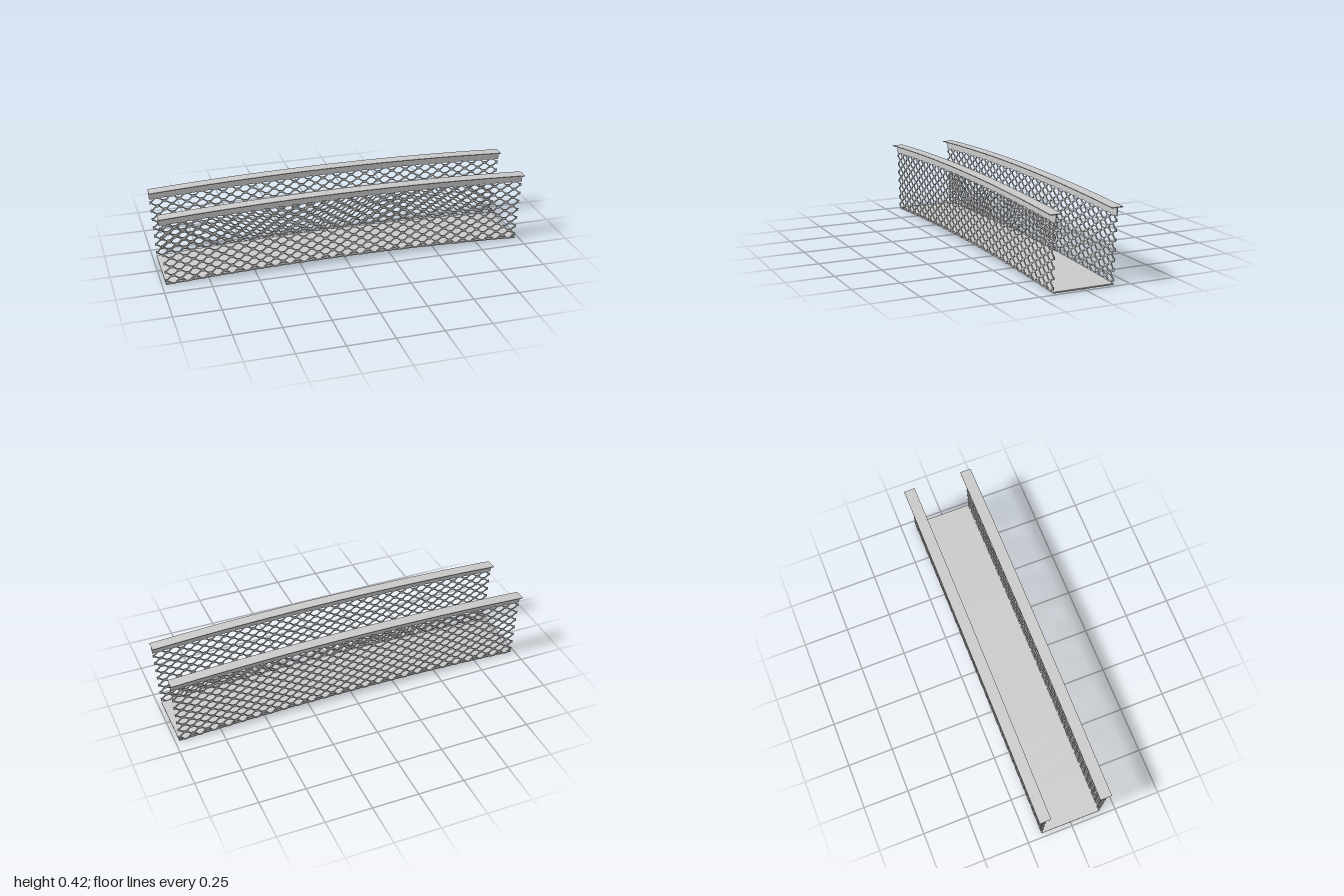
import * as THREE from 'three';

const R0 = 17.609;             // radius of the floor underside
const HALF = Math.asin(1 / 18); // half of the arc angle
const HEIGHT = 0.391;          // floor underside to rail top
const material = new THREE.MeshStandardMaterial({ color: 0xcccccc, flatShading: true });

// Point on the bent trough: s runs -1..1 along it, t is the height above the underside
function bend(s, t, z) {
  const a = s * HALF, r = R0 + t;
  return [r * Math.sin(a), r * Math.cos(a) - R0 * Math.cos(HALF), z];
}

// Rectangular bar swept along the arc; low(s) is its lower edge
function bar(name, n, low, height, z0, z1) {
  const pos = [], idx = [];
  for (let i = 0; i <= n; i++) {
    const s = -1 + (2 * i) / n, t = low(s, i);
    pos.push(...bend(s, t, z0), ...bend(s, t, z1), ...bend(s, t + height, z1), ...bend(s, t + height, z0));
  }
  for (let i = 0; i < n; i++) {
    for (let j = 0; j < 4; j++) {
      const a = i * 4 + j, b = i * 4 + ((j + 1) % 4);
      idx.push(a, a + 4, b, b, a + 4, b + 4);
    }
  }
  const e = n * 4;
  idx.push(0, 1, 2, 0, 2, 3, e, e + 2, e + 1, e, e + 3, e + 2);
  const indexed = new THREE.BufferGeometry();
  indexed.setAttribute('position', new THREE.Float32BufferAttribute(pos, 3));
  indexed.setIndex(idx);
  const geometry = indexed.toNonIndexed();
  geometry.computeVertexNormals();
  const mesh = new THREE.Mesh(geometry, material);
  mesh.name = name;
  return mesh;
}

// Expanded-metal side: zigzag strands meeting at flat knuckles
function meshPanel(z0, z1) {
  const panel = new THREE.Group();
  panel.name = 'meshPanel';
  const rows = 14, step = 0.025, width = 0.008, pitches = 25;
  const wave = [1, 1, 0, -1, -1, -1, 0, 1];
  for (let k = 0; k < rows; k++) {
    const sign = k % 2 ? -1 : 1;
    const mid = (k + 0.5) * step - width / 2;
    const low = (s, i) => mid + (sign * wave[i % 8] * (step - width)) / 2;
    panel.add(bar('strand', pitches * 8, low, width, z0, z1));
  }
  return panel;
}

export function createModel() {
  const model = new THREE.Group();
  model.name = 'curvedTrough';

  // Solid floor plate
  model.add(bar('floor', 16, () => 0, 0.007, -0.165, 0.165));

  for (const side of [1, -1]) {
    const span = (a, b) => (side > 0 ? [a, b] : [-b, -a]);
    const wall = new THREE.Group();
    wall.name = side > 0 ? 'frontWall' : 'backWall';
    // Open mesh, solid strip above it, flat rail on top
    wall.add(meshPanel(...span(0.163, 0.168)));
    wall.add(bar('upperStrip', 16, () => 0.345, 0.044, ...span(0.163, 0.168)));
    wall.add(bar('topRail', 16, () => HEIGHT - 0.004, 0.004, ...span(0.135, 0.197)));
    model.add(wall);
  }
  return model;
}
